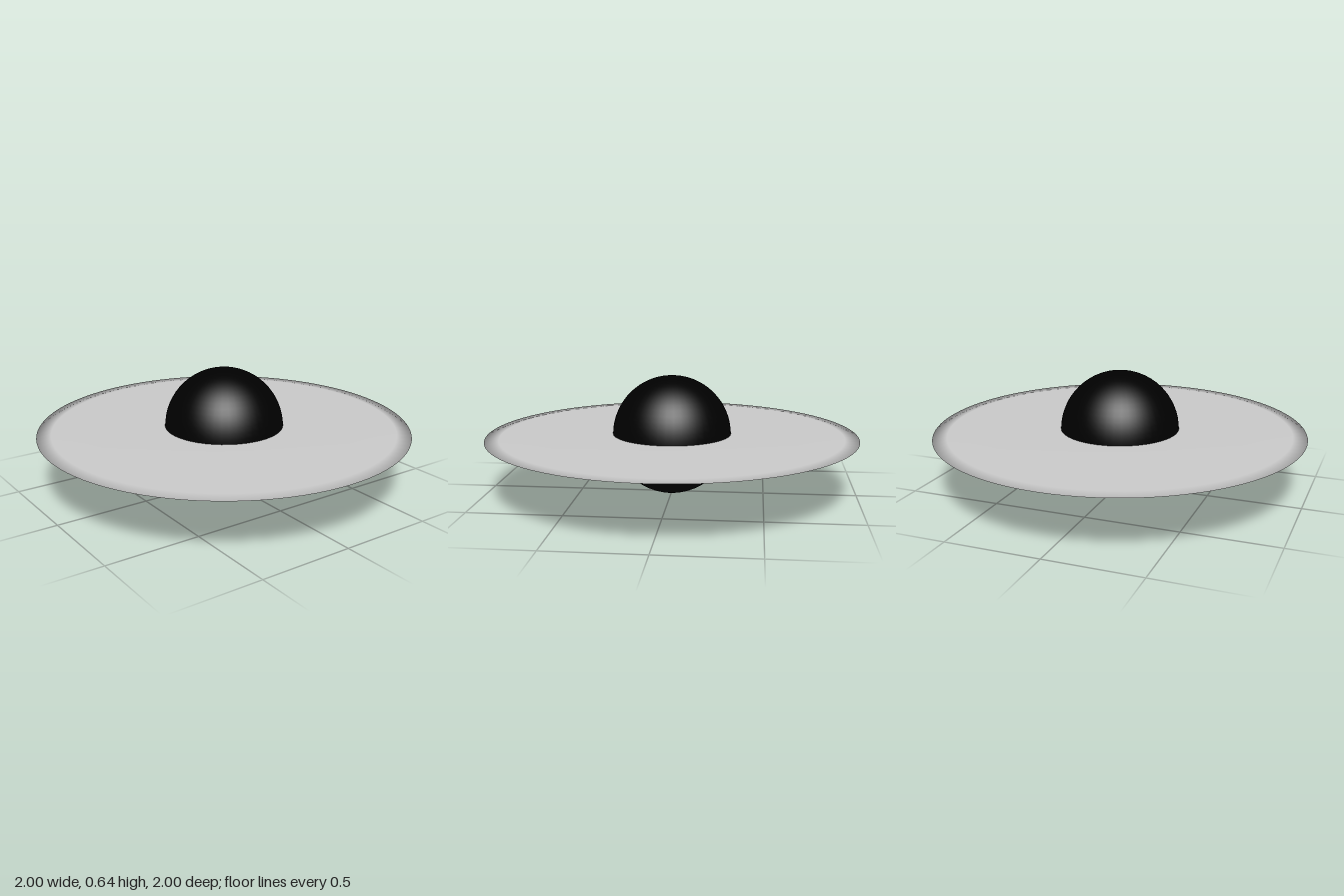
import * as THREE from 'three';

const CORE_RADIUS = 0.32;
const DISC_HALF_THICKNESS = 0.007;

function addPart(group, name, geometry, color) {
  const mesh = new THREE.Mesh(geometry, new THREE.MeshStandardMaterial({ color }));
  mesh.name = name;
  mesh.position.y = CORE_RADIUS;
  group.add(mesh);
}

export function createModel() {
  const group = new THREE.Group();
  group.name = 'ringedSphere';

  // Black central sphere
  addPart(group, 'core', new THREE.SphereGeometry(CORE_RADIUS, 48, 32), 0x000000);

  // Wafer-thin disc: a strongly flattened spheroid with a soft, rounded rim
  const disc = new THREE.SphereGeometry(1, 96, 8);
  disc.scale(1, DISC_HALF_THICKNESS, 1);
  addPart(group, 'disc', disc, 0xcccccc);

  return group;
}
